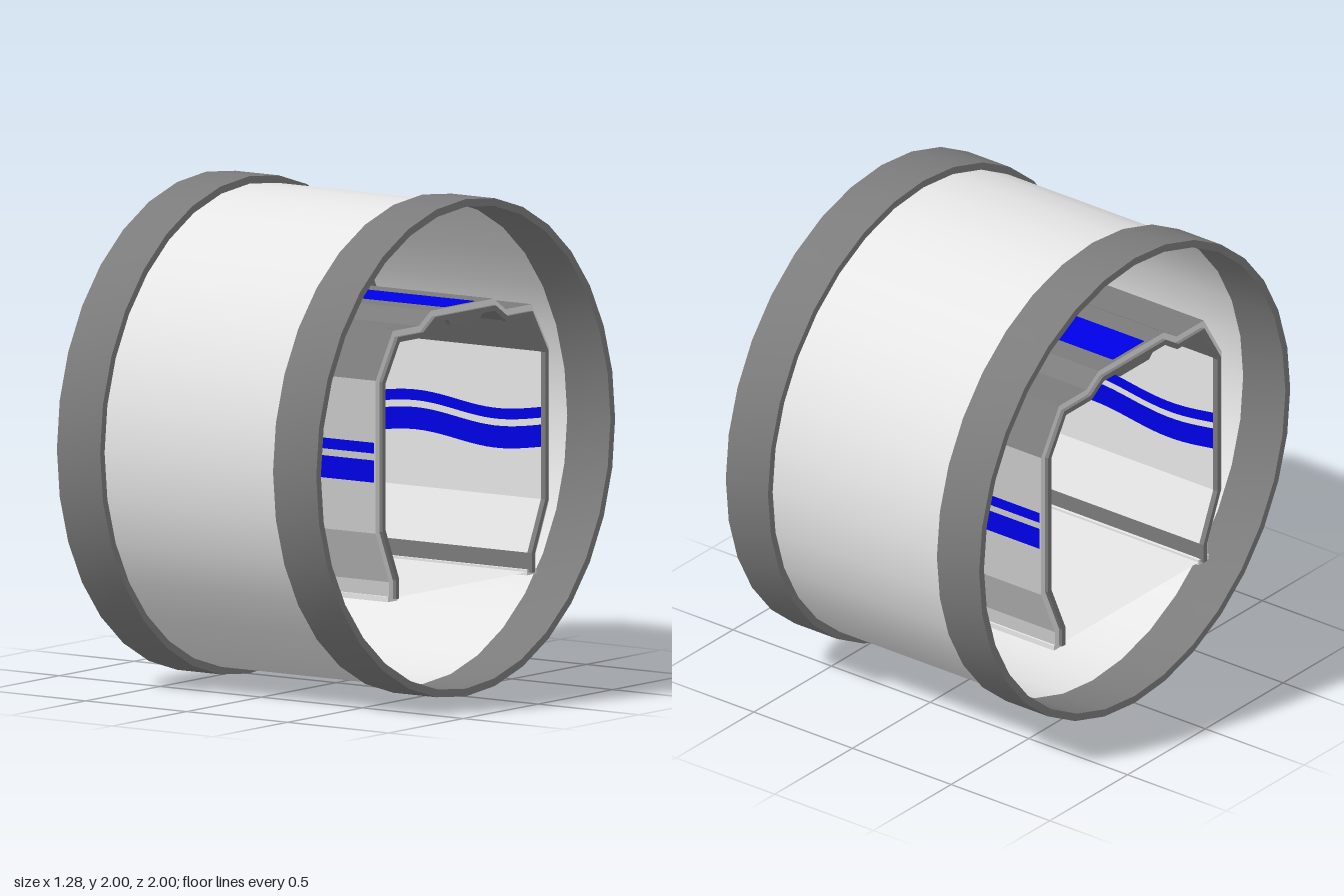
import * as THREE from 'three';
import { toCreasedNormals } from 'three/addons/utils/BufferGeometryUtils.js';

const mat = (name, color, extra = {}) => {
  const m = new THREE.MeshStandardMaterial({ color, ...extra });
  m.name = name;
  return m;
};

// Half of the shell outline as [z, y], from foot to roof
const HALF = [[0.49, 0.445], [0.49, 0.515], [0.58, 0.72], [0.58, 1.335], [0.465, 1.522], [0.29, 1.522], [0.21, 1.574]];
const OUTLINE = [...HALF, ...HALF.map(([z, y]) => [-z, y]).reverse()].map(([z, y]) => new THREE.Vector2(z, y));

// Outline moved inwards by d, with mitred corners
function inset(d) {
  const normal = (a, b) => {
    const t = b.clone().sub(a).normalize();
    return new THREE.Vector2(-t.y, t.x);
  };
  return OUTLINE.map((p, i) => {
    const n0 = i > 0 ? normal(OUTLINE[i - 1], p) : normal(p, OUTLINE[i + 1]);
    const n1 = i < OUTLINE.length - 1 ? normal(p, OUTLINE[i + 1]) : n0;
    const m = n0.clone().add(n1).normalize();
    return p.clone().addScaledVector(m, d / m.dot(n0));
  });
}

// Cross-section in (z, y) drawn out along x, centred
function along(points, length) {
  const geo = new THREE.ExtrudeGeometry(new THREE.Shape(points), { depth: length, bevelEnabled: false });
  geo.translate(0, 0, -length / 2);
  geo.rotateY(Math.PI / 2);
  return geo;
}

// Layer of the shell between two insets, from one outline point to another
const layer = (d0, d1, length, from = 0, to = OUTLINE.length - 1) =>
  along([...inset(d0).slice(from, to + 1), ...inset(d1).slice(from, to + 1).reverse()], length);

export function createModel() {
  const light = mat('lightGrey', 0xe8e8e8, { side: THREE.DoubleSide });
  const dark = mat('darkGrey', 0x7c7c7c);
  const outside = mat('shellGrey', 0xc8c8c8);
  const blue = mat('blue', 0x0000e8);

  const model = new THREE.Group();
  const add = (name, geo, material, x = 0, y = 0, z = 0) => {
    const mesh = new THREE.Mesh(geo, material);
    mesh.name = name;
    mesh.position.set(x, y, z);
    model.add(mesh);
  };

  // Outer tube
  const tube = new THREE.CylinderGeometry(0.97, 0.97, 0.87, 32, 1, true);
  tube.rotateZ(Math.PI / 2);
  add('outerTube', tube, light, 0, 1, 0);

  // End rings
  const section = [[1, -0.107], [1, 0.107], [0.969, 0.107], [0.969, -0.107], [1, -0.107]];
  const lathe = new THREE.LatheGeometry(section.map(([r, h]) => new THREE.Vector2(r, h)), 32);
  const ring = toCreasedNormals(lathe, 0.5);
  ring.rotateZ(Math.PI / 2);
  for (const s of [-1, 1]) add('endRing', ring, dark, s * 0.535, 1, 0);

  // Shell and lining: pale walls, dark roof and foot strips, pale shell ends
  const parts = [
    ['Foot', 0, 1, outside, dark],
    ['Wall', 1, 3, outside, light],
    ['Roof', 3, 10, dark, dark],
    ['Wall', 10, 12, outside, light],
    ['Foot', 12, 13, outside, dark],
  ];
  for (const [name, from, to, outer, inner] of parts) {
    add('shell' + name, layer(0, 0.025, 1.25, from, to), [light, outer]);
    add('lining' + name, layer(0.025, 0.044, 1.24, from, to), inner);
  }

  // Dark seals around both openings
  for (const s of [-1, 1]) add('seal', layer(0.025, 0.046, 0.022), dark, s * 0.63, 0, 0);

  // Feet and floor
  for (const s of [-1, 1]) add('foot', new THREE.BoxGeometry(1.25, 0.022, 0.066), light, 0, 0.446, s * 0.465);
  const floor = new THREE.PlaneGeometry(1.25, 0.9);
  floor.rotateX(-Math.PI / 2);
  add('floor', floor, light, 0, 0.448, 0);

  // Small ceiling blocks at both openings
  const block = [[-0.12, 1.532], [-0.095, 1.506], [0.095, 1.506], [0.12, 1.532]].map(([z, y]) => new THREE.Vector2(z, y));
  for (const s of [-1, 1]) add('ceilingBlock', along(block, 0.022), dark, s * 0.63, 0, 0);

  // Roof and ceiling bands
  add('roofBand', new THREE.BoxGeometry(1.22, 0.003, 0.2), blue, 0, 1.575, 0);
  add('ceilingBand', new THREE.BoxGeometry(1.236, 0.003, 0.2), blue, 0, 1.529, 0);

  // Wall stripes: straight outside, waved inside
  function stripe(y0, y1, wave) {
    const steps = 32;
    const low = [], high = [];
    for (let i = 0; i <= steps; i++) {
      const x = -0.618 + (1.236 * i) / steps;
      const dy = wave * Math.cos(2.5 * Math.PI * x);
      low.push(new THREE.Vector2(x, y0 + dy));
      high.push(new THREE.Vector2(x, y1 + dy));
    }
    const geo = new THREE.ExtrudeGeometry(new THREE.Shape([...low, ...high.reverse()]), { depth: 0.003, bevelEnabled: false });
    geo.translate(0, 0, -0.0015);
    return geo;
  }
  for (const [y0, y1] of [[1.042, 1.085], [0.925, 1.014]]) {
    for (const s of [-1, 1]) {
      add('outerStripe', stripe(y0, y1, 0), blue, 0, 0, s * 0.58);
      add('innerStripe', stripe(y0, y1, 0.02), blue, 0, s * -0.012, s * 0.5355);
    }
  }
  return model;
}
